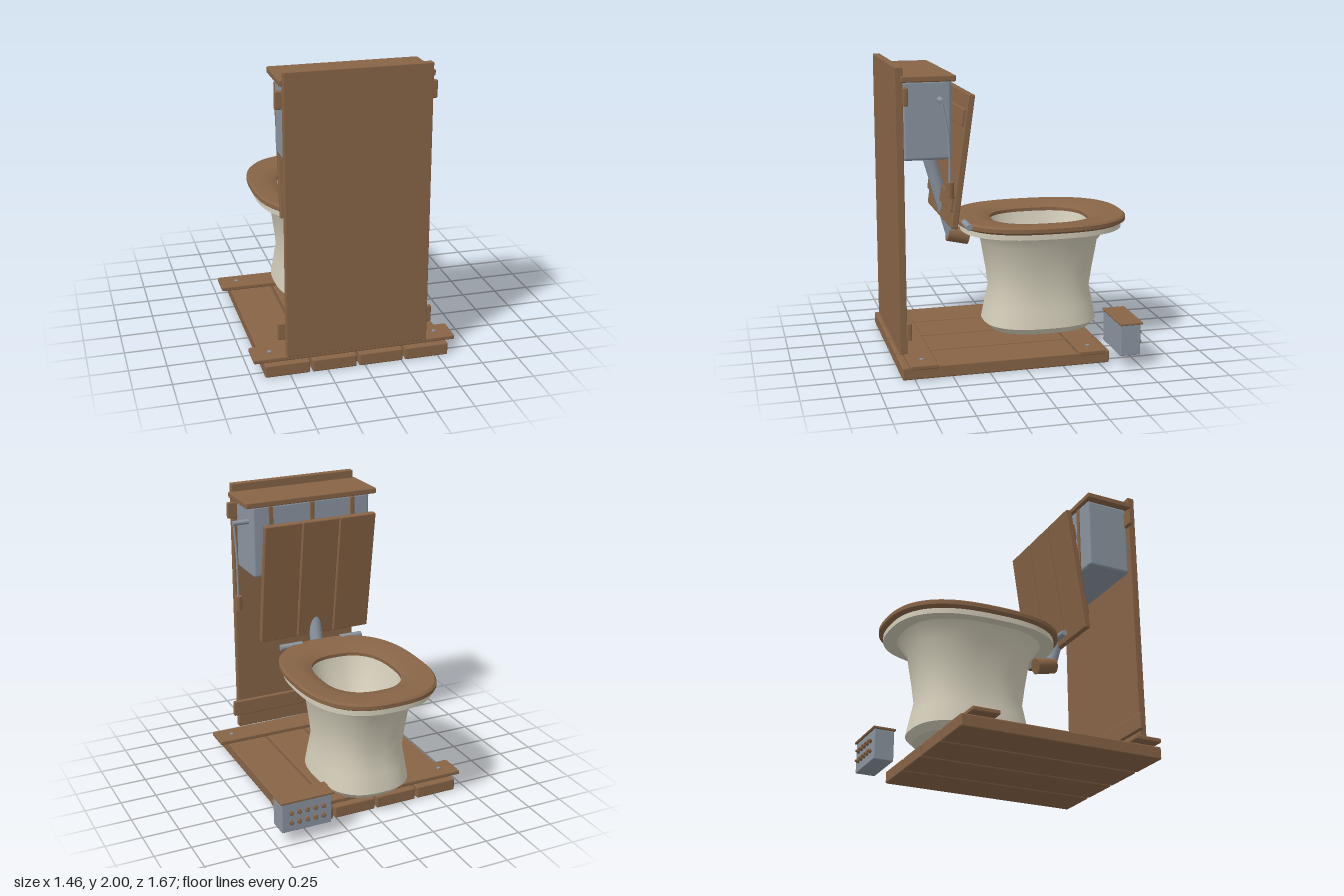
import * as THREE from 'three';
import { toCreasedNormals } from 'three/addons/utils/BufferGeometryUtils.js';
import { RoundedBoxGeometry } from 'three/addons/geometries/RoundedBoxGeometry.js';

const CX = -0.05; // centre line of the seat, tank and floor

export function createModel() {
  const root = new THREE.Group();
  root.name = 'outdoorToilet';

  const material = (name, color) => {
    const m = new THREE.MeshStandardMaterial({ color });
    m.name = name;
    return m;
  };
  const wood = material('wood', 0x876446);
  const metal = material('metal', 0x8a94a0);
  const ceramic = material('ceramic', 0xd2ccb8);
  const water = material('water', 0x4f7f86);

  const add = (name, geo, mat, parent = root) => {
    const m = new THREE.Mesh(geo, mat);
    m.name = name;
    parent.add(m);
    return m;
  };

  // Softly rounded box from its minimum and maximum corners
  const box = (name, x0, x1, y0, y1, z0, z1, mat, r = 0.008, parent = root) => {
    const m = add(name, new RoundedBoxGeometry(x1 - x0, y1 - y0, z1 - z0, 2, r), mat, parent);
    m.position.set((x0 + x1) / 2, (y0 + y1) / 2, (z0 + z1) / 2);
    return m;
  };

  // Cylinder between two points
  const rod = (name, a, b, r, mat, sides = 20) => {
    const p = new THREE.Vector3(...a), q = new THREE.Vector3(...b);
    const dir = q.clone().sub(p);
    const m = add(name, new THREE.CylinderGeometry(r, r, dir.length(), sides), mat);
    m.position.copy(p).add(q).multiplyScalar(0.5);
    m.quaternion.setFromUnitVectors(new THREE.Vector3(0, 1, 0), dir.normalize());
    return m;
  };

  // Skin through rounded oval rings, each [halfWidth, halfDepth, y]
  const loft = (name, rings, mat, crease = 0.55) => {
    const n = 72, power = 2 / 2.55, pos = [], index = [];
    const bend = (v) => Math.sign(v) * Math.abs(v) ** power;
    rings.forEach(([hx, hz, y], i) => {
      for (let j = 0; j < n; j++) {
        const t = (j / n) * Math.PI * 2;
        pos.push(hx * bend(Math.cos(t)), y, hz * bend(Math.sin(t)));
        if (i === rings.length - 1) continue;
        const a = i * n + j, b = i * n + (j + 1) % n;
        index.push(a, a + n, b, b, a + n, b + n);
      }
    });
    const g = new THREE.BufferGeometry();
    g.setAttribute('position', new THREE.Float32BufferAttribute(pos, 3));
    g.setIndex(index);
    const m = add(name, toCreasedNormals(g, crease), mat);
    m.position.set(CX, 0, -0.2475);
    return m;
  };

  // Floor planks and their cross battens with screws
  for (let i = 0; i < 4; i++) {
    const x = -0.665 + i * 0.313;
    box('floorPlank', x, x + 0.296, 0, 0.085, -0.57, 0.83, wood, 0.01);
  }
  for (const z of [-0.4325, 0.6975]) {
    box('floorBatten', -0.73, 0.63, 0.085, 0.115, z - 0.0925, z + 0.0925, wood);
    for (const x of [-0.61, 0.515]) rod('floorScrew', [x, 0.1, z], [x, 0.12, z], 0.013, metal, 12);
  }

  // Upright back board with two battens
  box('backBoard', -0.52, 0.42, 0.125, 2, 0.77, 0.82, wood, 0.005);
  for (const y of [0.2875, 1.8175]) box('backBatten', -0.565, 0.465, y - 0.0575, y + 0.0575, 0.745, 0.775, wood);

  // Water tank, its cover and trim strips
  box('tank', -0.495, 0.395, 1.4, 1.91, 0.455, 0.77, metal, 0.02);
  box('tankCover', -0.54, 0.445, 1.905, 1.945, 0.435, 0.785, wood);
  for (const dx of [-0.31, 0, 0.31]) box('tankStrip', CX + dx - 0.015, CX + dx + 0.015, 1.41, 1.9, 0.446, 0.458, wood, 0.003);

  // Flush lever, pull cord and handle
  rod('flushLever', [0.39, 1.79, 0.535], [0.51, 1.79, 0.535], 0.017, metal);
  const cord = new THREE.CatmullRomCurve3([[0.502, 1.79, 0.54], [0.502, 1.68, 0.519], [0.502, 1.56, 0.5], [0.502, 1.42, 0.495], [0.502, 1.26, 0.494]]
    .map((p) => new THREE.Vector3(...p)));
  add('pullCord', new THREE.TubeGeometry(cord, 24, 0.007, 8), metal);
  rod('pullHandle', [0.502, 1.17, 0.494], [0.502, 1.275, 0.494], 0.027, wood);

  // Flush pipe and wooden collar
  rod('flushPipe', [CX, 1.41, 0.543], [CX, 0.79, 0.365], 0.045, metal, 28);
  rod('pipeCollar', [CX, 0.807, 0.4], [CX, 0.775, 0.257], 0.055, wood, 28);

  // Bowl: foot, waisted body, rim and hollow interior
  const w = 0.79;
  loft('bowl', [
    [0.001, 0.001, 0.12], [0.355 * w, 0.355, 0.12], [0.4 * w, 0.4, 0.165], [0.375 * w, 0.375, 0.29],
    [0.352 * w, 0.352, 0.4], [0.37 * w, 0.37, 0.53], [0.405 * w, 0.405, 0.735], [0.475 * w, 0.475, 0.83],
    [0.565 * w, 0.565, 0.83], [0.565 * w, 0.565, 0.866], [0.272, 0.343, 0.866],
    [0.25, 0.322, 0.78], [0.215, 0.28, 0.68], [0.18, 0.238, 0.59],
  ], ceramic);
  loft('bowlWater', [[0.19, 0.25, 0.61], [0.001, 0.001, 0.61]], water);

  // Seat ring, dished towards the opening
  loft('seat', [
    [0.267, 0.3375, 0.865], [0.445, 0.565, 0.865], [0.47, 0.595, 0.882], [0.47, 0.595, 0.908], [0.457, 0.582, 0.92],
    [0.36, 0.45, 0.918], [0.29, 0.365, 0.904], [0.267, 0.3375, 0.888], [0.267, 0.3375, 0.865],
  ], wood);
  for (const s of [-1, 1]) rod('seatHinge', [CX + s * 0.15, 0.91, 0.315], [CX + s * 0.315, 0.91, 0.315], 0.021, metal);

  // Raised lid of three planks with two battens behind
  const lid = new THREE.Group();
  lid.name = 'lid';
  lid.position.set(CX, 0.932, 0.438);
  lid.rotation.x = -0.139;
  root.add(lid);
  for (let i = -1; i <= 1; i++) box('lidPlank', i * 0.281 - 0.136, i * 0.281 + 0.136, 0, 0.885, -0.022, 0.022, wood, 0.008, lid);
  for (const y of [0.165, 0.73]) box('lidBatten', -0.4, 0.4, y - 0.055, y + 0.055, 0.015, 0.042, wood, 0.006, lid);

  // Control box with cover and two rows of buttons
  box('controlBox', 0.365, 0.715, 0.09, 0.302, -0.735, -0.595, metal, 0.006);
  box('controlCover', 0.35, 0.725, 0.3, 0.315, -0.748, -0.59, wood, 0.004);
  for (const y of [0.16, 0.23]) {
    for (let i = 0; i < 5; i++) {
      const x = 0.425 + i * 0.057;
      rod('controlButton', [x, y, -0.73], [x, y, -0.752], 0.015, wood, 14);
      rod('controlButtonTip', [x, y, -0.75], [x, y, -0.762], 0.009, wood, 14);
    }
  }
  return root;
}
